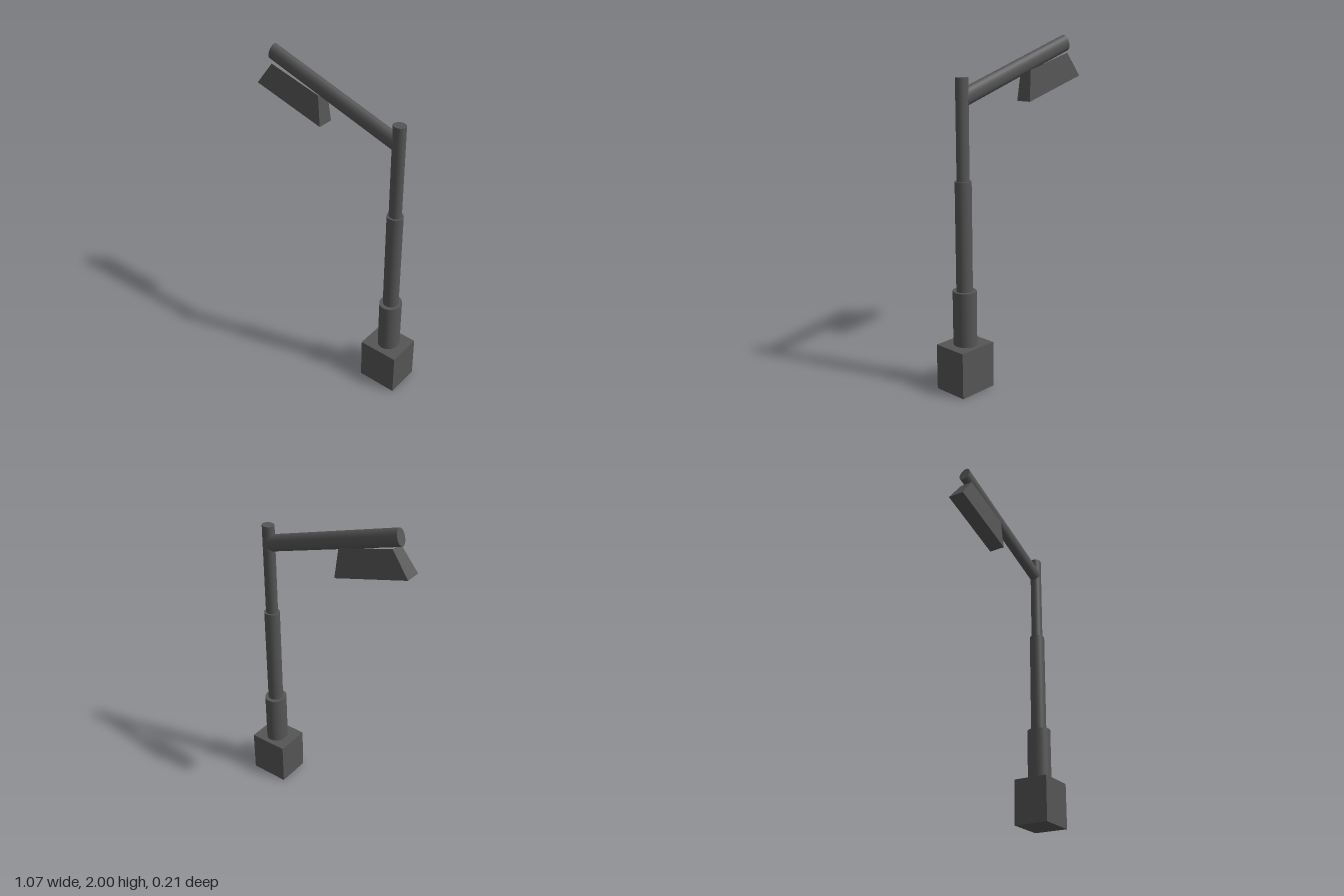
import * as THREE from 'three';

const material = new THREE.MeshStandardMaterial({ color: 0x555555 });
const POLE_X = 0.416;
const AXIS_Z = -0.004;

function part(name, geometry) {
  const mesh = new THREE.Mesh(geometry, material);
  mesh.name = name;
  return mesh;
}

// Upright pole section, slightly oval: rx across, rz deep
function poleSection(name, rx, rz, y0, y1) {
  const geometry = new THREE.CylinderGeometry(1, 1, y1 - y0, 32).scale(rx, 1, rz);
  geometry.translate(POLE_X, (y0 + y1) / 2, AXIS_Z);
  return part(name, geometry);
}

// Sloping oval arm from the pole axis to its free end
function arm() {
  const root = new THREE.Vector2(POLE_X, 1.672);
  const tip = new THREE.Vector2(-0.4535, 1.9525);
  const d = tip.clone().sub(root);
  const geometry = new THREE.CylinderGeometry(1, 1, d.length(), 32).scale(0.05, 1, 0.034);
  geometry.rotateZ(d.angle() - Math.PI / 2);
  geometry.translate((root.x + tip.x) / 2, (root.y + tip.y) / 2, AXIS_Z);
  return part('arm', geometry);
}

// Flared lamp housing: a box with moved corners, open at the top under the arm
function lampHousing() {
  const geometry = new THREE.BoxGeometry(2, 2, 2);
  const corners = {
    top: { left: [-0.431, 1.895], right: [-0.098, 1.805], halfDepth: 0.038 },
    bottom: { left: [-0.537, 1.754], right: [-0.079, 1.624], halfDepth: 0.049 },
  };
  const pos = geometry.attributes.position;
  for (let i = 0; i < pos.count; i++) {
    const row = pos.getY(i) > 0 ? corners.top : corners.bottom;
    const [x, y] = pos.getX(i) > 0 ? row.right : row.left;
    pos.setXYZ(i, x, y, AXIS_Z + Math.sign(pos.getZ(i)) * row.halfDepth);
  }
  // Drop the two triangles of the top face
  const index = Array.from(geometry.index.array);
  index.splice(12, 6);
  geometry.setIndex(index);
  geometry.clearGroups();
  geometry.computeVertexNormals();
  return part('lampHousing', geometry);
}

export function createModel() {
  const group = new THREE.Group();
  group.name = 'streetLamp';

  // Foundation block
  const base = part('base', new THREE.BoxGeometry(0.246, 0.27, 0.213));
  base.position.set(0.414, 0.135, 0);

  group.add(
    base,
    poleSection('lowerPole', 0.065, 0.072, 0.27, 0.59),
    poleSection('middlePole', 0.048, 0.046, 0.59, 1.22),
    poleSection('upperPole', 0.038, 0.034, 1.22, 1.785),
    arm(),
    lampHousing(),
  );
  return group;
}
